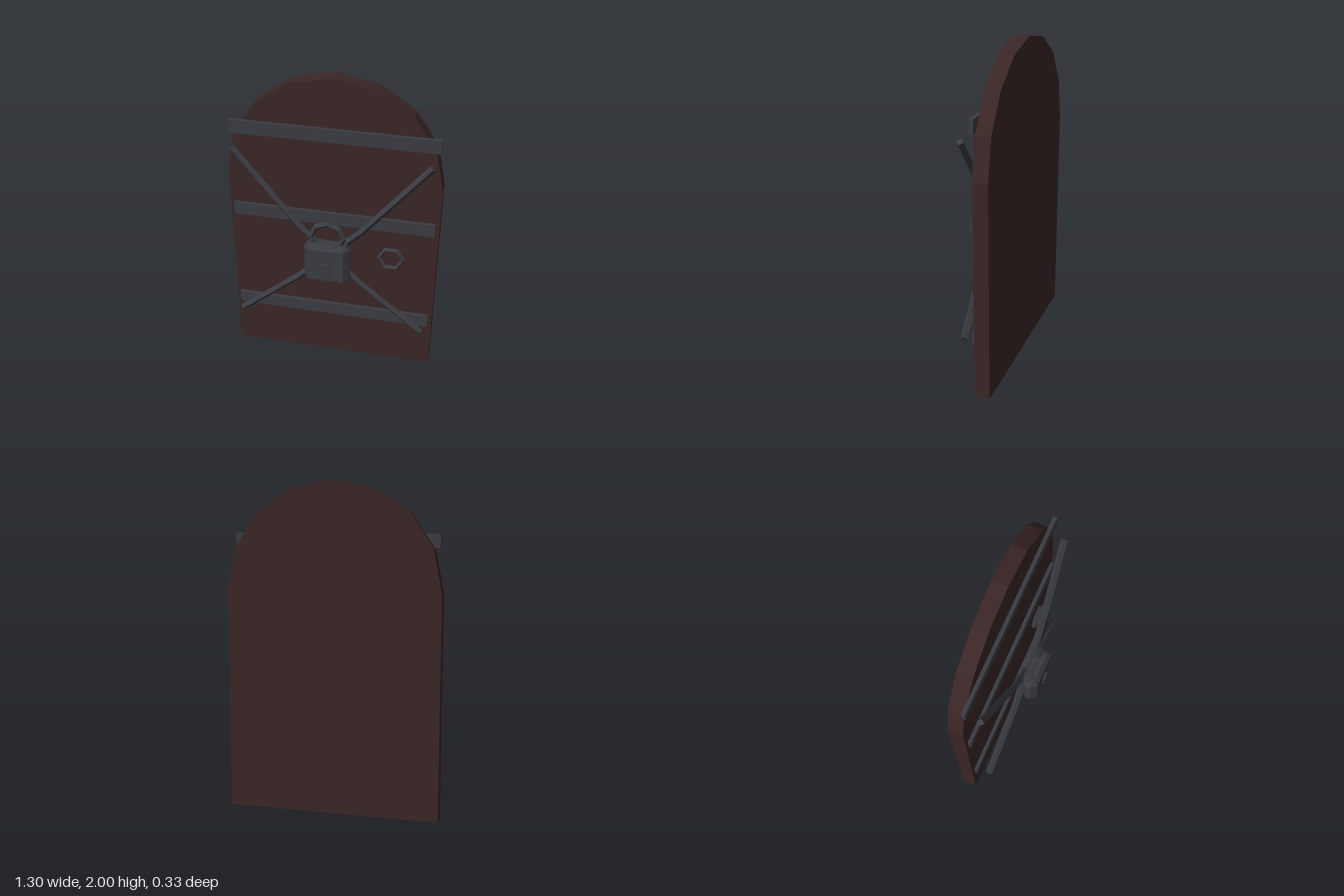
import * as THREE from 'three';
import { ConvexGeometry } from 'three/addons/geometries/ConvexGeometry.js';

// Polyline whose corners fall exactly on the tube's rings
class Polyline extends THREE.Curve {
  constructor(points) {
    super();
    this.points = points;
  }
  getPoint(t, target = new THREE.Vector3()) {
    const n = this.points.length - 1;
    const i = Math.min(Math.floor(t * n), n - 1);
    return target.lerpVectors(this.points[i], this.points[i + 1], t * n - i);
  }
  getPointAt(u, target) { return this.getPoint(u, target); }
  getTangentAt(u, target) { return this.getTangent(u, target); }
}

// Flat facets through split vertices
function faceted(geometry) {
  const flat = geometry.index ? geometry.toNonIndexed() : geometry;
  flat.computeVertexNormals();
  return flat;
}

export function createModel() {
  const model = new THREE.Group();
  model.name = 'chainedDoor';

  const wood = new THREE.MeshStandardMaterial({ color: 0x3a2525 });
  wood.name = 'dark wood';
  const iron = new THREE.MeshStandardMaterial({ color: 0x3a3a42 });
  iron.name = 'dark iron';

  function add(name, geometry, material, x = 0, y = 0, z = 0, parent = model) {
    const mesh = new THREE.Mesh(geometry, material);
    mesh.name = name;
    mesh.position.set(x, y, z);
    parent.add(mesh);
    return mesh;
  }

  // Arched door slab
  const outline = new THREE.Shape();
  outline.moveTo(-0.65, 0);
  outline.lineTo(0.65, 0);
  for (let i = 0; i <= 8; i++) {
    const a = (i / 8) * Math.PI;
    outline.lineTo(0.65 * Math.cos(a), 1.35 + 0.65 * Math.sin(a));
  }
  const slab = new THREE.ExtrudeGeometry(outline, { depth: 0.093, bevelEnabled: false });
  add('door', slab, wood, 0, 0, -0.165);

  // Iron bands across the door
  for (const y of [0.373, 1.08, 1.65]) {
    add('band', new THREE.BoxGeometry(1.25, 0.083, 0.025), iron, 0, y, -0.0625);
  }

  // Crossed bars, bowed forward in the middle, with closed ends
  for (const s of [1, -1]) {
    const points = [
      [-0.59, 1.55, 0.015], [-0.2, 1.08, 0.037], [0.2, 0.68, 0.037], [0.59, 0.34, 0.015],
    ].map(([x, y, z]) => new THREE.Vector3(s * x, y, z));
    const bar = new THREE.TubeGeometry(new Polyline(points), 3, 0.022, 4);
    add('crossBar', faceted(bar), iron);
    for (const [end, before] of [[0, 1], [3, 2]]) {
      const cap = add('crossBarEnd', new THREE.CircleGeometry(0.022, 4), iron);
      cap.position.copy(points[end]);
      cap.lookAt(points[end].clone().multiplyScalar(2).sub(points[before]));
      cap.rotateZ(0);
    }
  }

  // Padlock body: chamfered corners and a chamfered top
  const padlock = new THREE.Group();
  padlock.name = 'padlock';
  model.add(padlock);
  const corners = [];
  for (const [y, inset] of [[0.76, 0], [0.98, 0], [1.01, 0.025]]) {
    for (const s of [-1, 1]) {
      for (const t of [-1, 1]) {
        corners.push(new THREE.Vector3(s * (0.14 - inset), y, 0.098 + t * 0.015));
        corners.push(new THREE.Vector3(s * (0.105 - inset * 0.5), y, 0.098 + t * (0.052 - inset)));
      }
    }
  }
  add('lockBody', new ConvexGeometry(corners), iron, 0, 0, 0, padlock);
  add('keyholePlate', new THREE.BoxGeometry(0.05, 0.08, 0.02), iron, 0, 0.845, 0.155, padlock);

  // Shackle ring and hexagonal door pull
  add('shackle', faceted(new THREE.TorusGeometry(0.097, 0.019, 4, 8)), iron, 0, 1.05, 0.1, padlock);
  add('doorPull', faceted(new THREE.TorusGeometry(0.074, 0.015, 4, 6)), iron, 0.37, 0.845, -0.042);

  return model;
}
